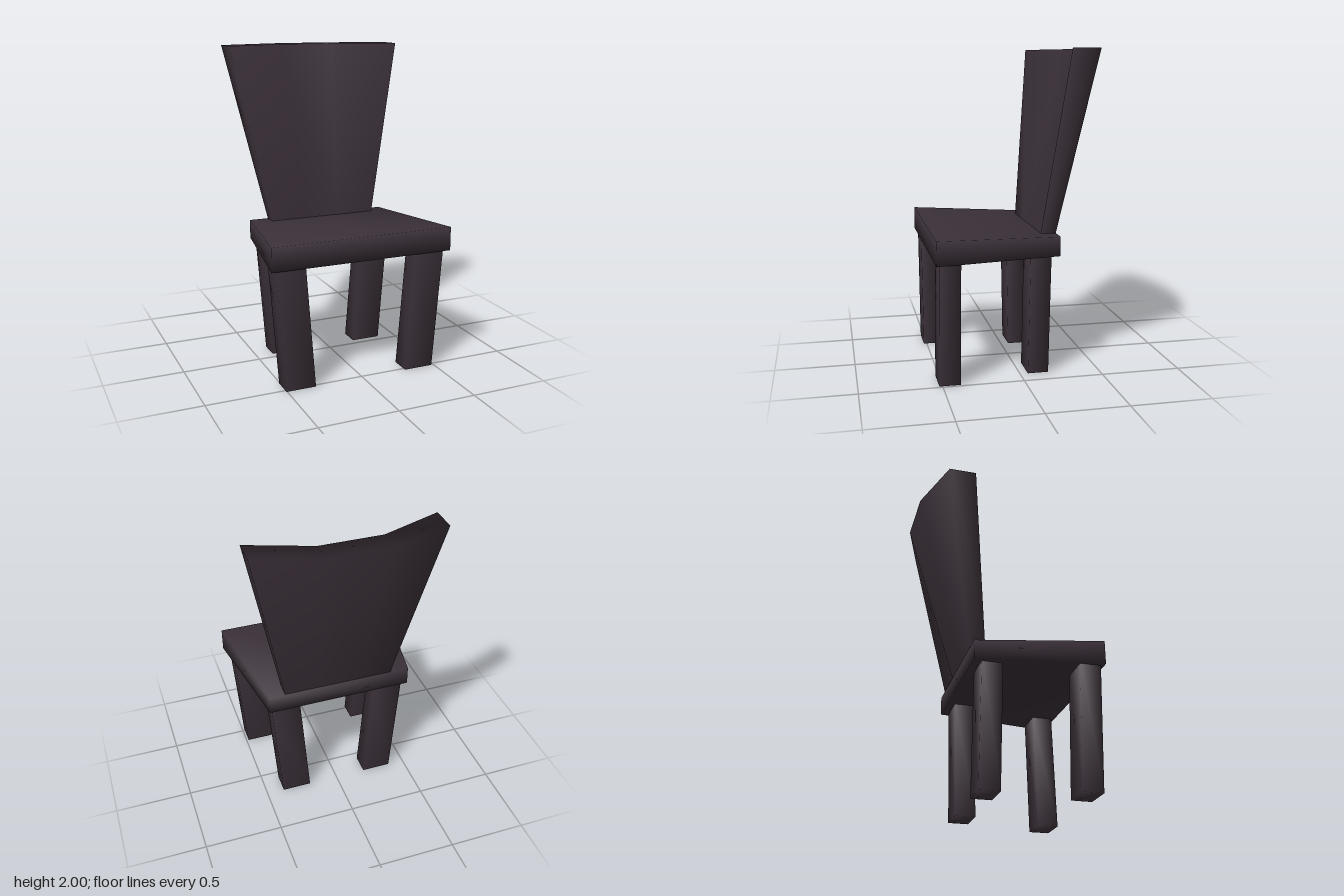
import * as THREE from 'three';

const darkWood = new THREE.MeshStandardMaterial({ color: 0x3a3038 });
darkWood.name = 'darkWood';

// Skins four-cornered sections that follow each other towards +x.
// Corner order: bottom front, bottom back, top back, top front.
// Corners are shared, so the shading stays smooth across the edges.
function skin(name, sections) {
  const index = [];
  for (let i = 0; i < sections.length - 1; i++) {
    for (let j = 0; j < 4; j++) {
      const k = (j + 1) % 4;
      const a = i * 4 + j, b = i * 4 + k, c = b + 4, d = a + 4;
      index.push(a, b, c, a, c, d);
    }
  }
  const e = (sections.length - 1) * 4;
  index.push(0, 2, 1, 0, 3, 2, e, e + 1, e + 2, e, e + 2, e + 3);
  const geometry = new THREE.BufferGeometry();
  geometry.setAttribute('position', new THREE.Float32BufferAttribute(sections.flat(2), 3));
  geometry.setIndex(index);
  geometry.computeVertexNormals();
  const mesh = new THREE.Mesh(geometry, darkWood);
  mesh.name = name;
  return mesh;
}

// Leg whose left and right faces lean by the same amount
function leg(name, xBottom, xTop, zFront, zBack) {
  const width = 0.19, height = 0.765;
  return skin(name, [-width / 2, width / 2].map((w) => [
    [xBottom + w, 0, zFront], [xBottom + w, 0, zBack],
    [xTop + w, height, zBack], [xTop + w, height, zFront],
  ]));
}

export function createModel() {
  const chair = new THREE.Group();
  chair.name = 'chair';

  // Seat: wider and thicker at the front
  chair.add(skin('seat', [[-0.595, -0.47], [0.585, 0.465]].map(([front, back]) => [
    [front, 0.76, 0.54], [back, 0.76, -0.23],
    [back, 0.88, -0.23], [front, 0.91, 0.54],
  ])));

  // Backrest: straight at the foot, flaring and bowing backwards at the top
  // Columns: foot x, top x, top front z, top back z
  const columns = [
    [-0.345, -0.575, -0.255, -0.425],
    [-0.11, -0.19, -0.4, -0.54],
    [0.12, 0.2, -0.4, -0.54],
    [0.36, 0.59, -0.255, -0.425],
  ];
  chair.add(skin('backrest', columns.map(([foot, top, front, back]) => [
    [foot, 0.87, -0.13], [foot, 0.87, -0.225],
    [top, 2, back], [top, 2, front],
  ])));

  // Legs: lean inwards towards the floor, back pair closer together
  for (const [side, s] of [['Left', 1], ['Right', -1]]) {
    chair.add(leg('front' + side + 'Leg', s * 0.4 - 0.01, s * 0.46 - 0.01, 0.52, 0.39));
    chair.add(leg('back' + side + 'Leg', s * 0.293 - 0.003, s * 0.353 - 0.003, -0.05, -0.18));
  }
  return chair;
}
